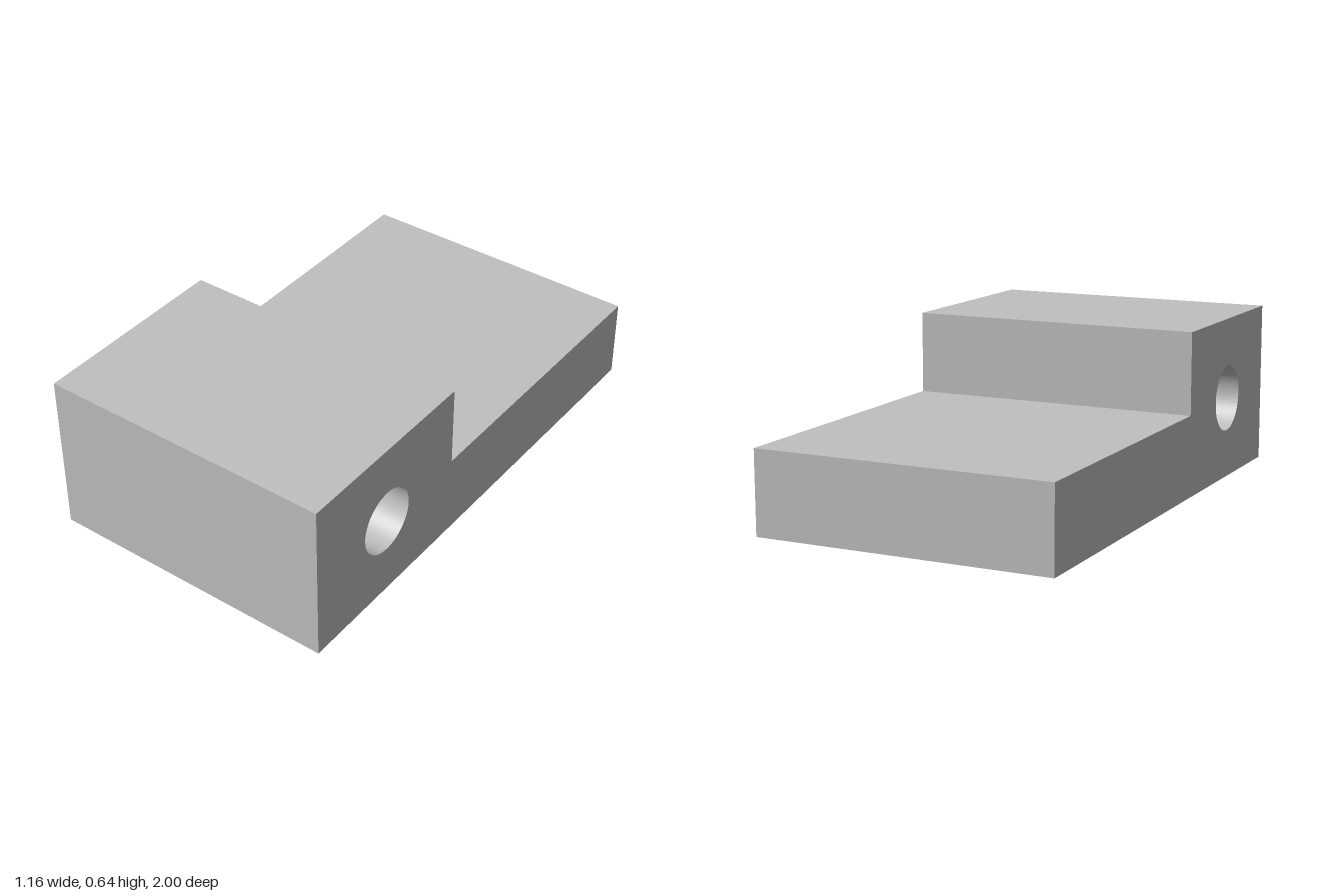
import * as THREE from 'three';
import { toCreasedNormals } from 'three/addons/utils/BufferGeometryUtils.js';

const WIDTH = 1.16;

export function createModel() {
  const group = new THREE.Group();
  group.name = 'steppedBlock';

  const grey = new THREE.MeshStandardMaterial({ color: 0xc0c0c0 });
  grey.name = 'plain grey';

  // Side profile: tall block at the front, low plate at the back (profile x = -z)
  const profile = new THREE.Shape([
    [-1, 0], [1, 0], [1, 0.32], [-0.2, 0.32], [-0.2, 0.64], [-1, 0.64],
  ].map(([x, y]) => new THREE.Vector2(x, y)));

  // Round bore running through the tall block from side to side
  const bore = new THREE.Path();
  bore.absarc(-0.6, 0.32, 0.13, 0, Math.PI * 2, true);
  profile.holes.push(bore);

  // Extrude across the width, then turn the profile to run along z
  const geometry = new THREE.ExtrudeGeometry(profile, {
    depth: WIDTH, bevelEnabled: false, curveSegments: 32,
  });
  geometry.translate(0, 0, -WIDTH / 2).rotateY(Math.PI / 2);

  // Smooth bore wall, sharp block edges
  const body = new THREE.Mesh(toCreasedNormals(geometry, Math.PI / 6), grey);
  body.name = 'blockWithBore';
  group.add(body);

  return group;
}
